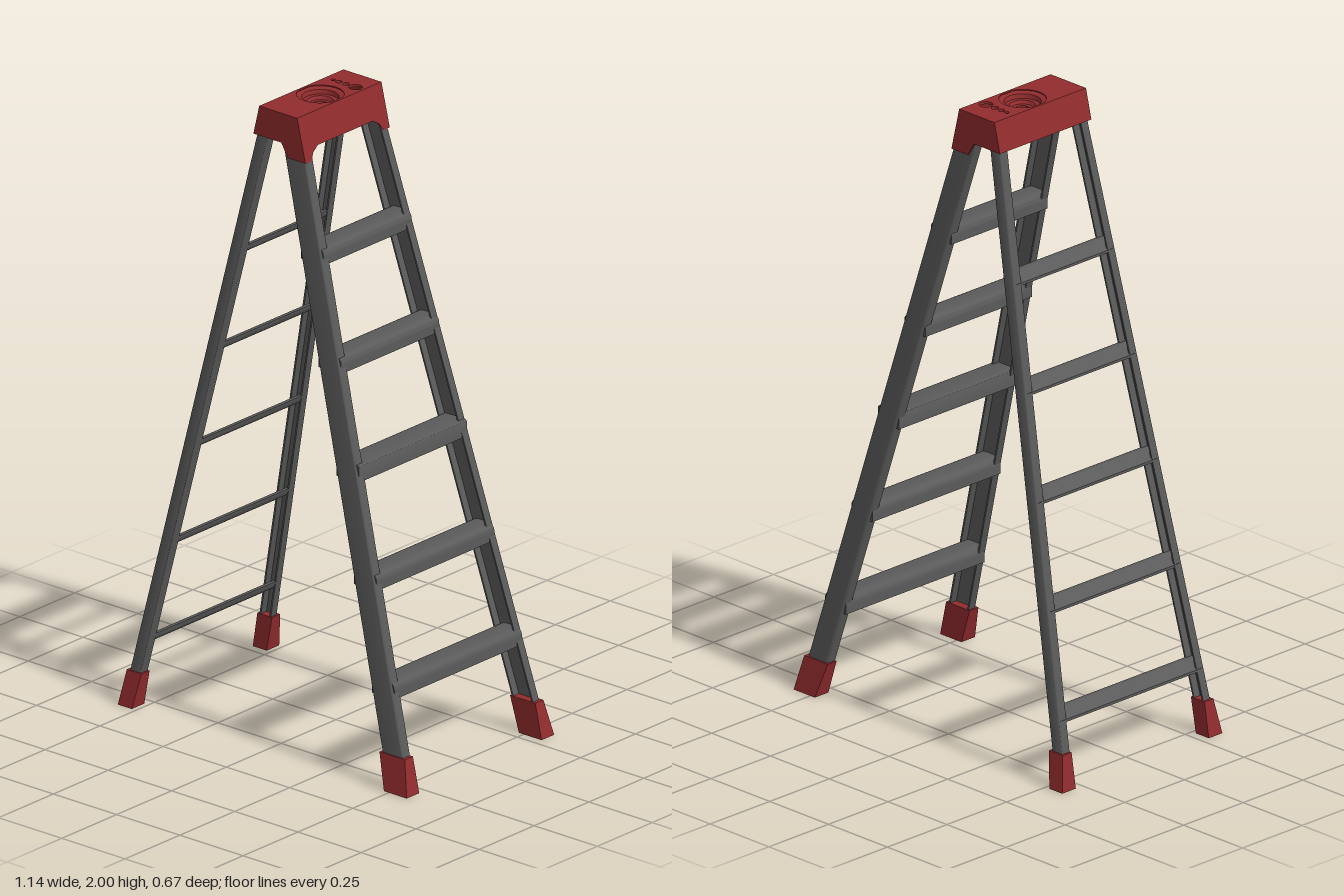
import * as THREE from 'three';
import { toCreasedNormals } from 'three/addons/utils/BufferGeometryUtils.js';

const red = new THREE.MeshStandardMaterial({ color: 0x922c2e, side: THREE.DoubleSide });
red.name = 'red plastic';
const grey = new THREE.MeshStandardMaterial({ color: 0x5a5a5a, side: THREE.DoubleSide });
grey.name = 'grey metal';

const polygon = (pts) => new THREE.Shape(pts.map(([x, y]) => new THREE.Vector2(x, y)));

function extrude(shape, depth) {
  return new THREE.ExtrudeGeometry(shape, { depth, bevelEnabled: false, curveSegments: 10 });
}

function warp(geo, rule) {
  const p = geo.attributes.position;
  for (let i = 0; i < p.count; i++) p.setXYZ(i, ...rule(p.getX(i), p.getY(i), p.getZ(i)));
  const out = geo.index ? geo.toNonIndexed() : geo;
  out.computeVertexNormals();
  return out;
}

// Outer z of the rails at a given height; they splay towards the ground
const railZ = (y) => 0.312 - 0.0706 * (y - 0.11);
// Centre x of the climbing rails and of the rear rails
const climbX = (y) => 0.494 - 0.2807 * (y - 0.11);
const rearX = (y) => -0.524 + 0.219 * (y - 0.11);

// C-channel leaning along centre line xAt, with its open side inwards
function rail(width, xAt, s) {
  const w = width / 2, d = 0.031, t = 0.006, r = 0.009;
  const shape = new THREE.Shape();
  shape.moveTo(-w, s * d);
  shape.lineTo(-w, s * r);
  shape.quadraticCurveTo(-w, 0, -w + r, 0);
  shape.lineTo(w - r, 0);
  shape.quadraticCurveTo(w, 0, w, s * r);
  shape.lineTo(w, s * d);
  shape.lineTo(w - t, s * d);
  shape.lineTo(w - t, s * t);
  shape.lineTo(-w + t, s * t);
  shape.lineTo(-w + t, s * d);
  shape.closePath();
  const geo = extrude(shape, 1.92).rotateX(-Math.PI / 2).translate(0, 0.04, 0);
  return toCreasedNormals(warp(geo, (x, y, z) => [x + xAt(y), y, z + s * railZ(y)]), 0.6);
}

// Slanted block: x ranges at the bottom and top, mirrored in z by s
function foot(bottom, top, s) {
  return warp(new THREE.BoxGeometry(1, 1, 1), (x, y, z) => {
    const up = y > 0;
    const range = up ? top : bottom;
    const outer = z * s > 0;
    return [range[x > 0 ? 1 : 0], up ? 0.112 : 0, s * (outer ? (up ? 0.316 : 0.336) : 0.279)];
  });
}

// Cross-section run across the ladder between the rails at height y
function crossBar(shape, x, y) {
  const half = railZ(y) - 0.007;
  return toCreasedNormals(extrude(shape, 2 * half).translate(x, y, -half), 0.6);
}

function treadShape(r) {
  const w = 0.0445, h = 0.027;
  const s = new THREE.Shape();
  s.moveTo(-w, -h);
  s.lineTo(w, -h);
  s.lineTo(w, h - r * 0.8);
  s.quadraticCurveTo(w, h, w - r, h);
  s.lineTo(-w + r, h);
  s.quadraticCurveTo(-w, h, -w, h - r * 0.8);
  s.closePath();
  return s;
}

// D section: slanted upper face with a bulging underside
function rungShape() {
  const s = new THREE.Shape();
  s.moveTo(-0.025, -0.0175);
  s.quadraticCurveTo(0.022, -0.0175, 0.025, 0.0175);
  s.lineTo(0.013, 0.0175);
  s.lineTo(-0.025, -0.009);
  s.closePath();
  return s;
}

export function createModel() {
  const model = new THREE.Group();
  model.name = 'stepladder';
  const add = (name, geo, mat, parent = model) => {
    const mesh = new THREE.Mesh(geo, mat);
    mesh.name = name;
    parent.add(mesh);
    return mesh;
  };

  // Rails and feet
  for (const s of [1, -1]) {
    add('climbingRail', rail(0.084, climbX, s), grey);
    add('rearRail', rail(0.045, rearX, s), grey);
    add('climbingFoot', foot([0.481, 0.571], [0.446, 0.546], s), red);
    add('rearFoot', foot([-0.571, -0.516], [-0.553, -0.495], s), red);
  }

  // Treads and rear rungs; the middle tread is squarer
  for (let i = 0; i < 5; i++) {
    const ty = 0.308 + i * 0.319;
    add('tread', crossBar(treadShape(i === 2 ? 0.01 : 0.032), climbX(ty), ty), grey);
    const ry = 0.218 + i * 0.325;
    add('rearRung', crossBar(rungShape(), rearX(ry), ry), grey);
  }

  // Hollow top cap
  const cap = new THREE.Group();
  cap.name = 'topCap';
  model.add(cap);
  const L = -0.137, R = 0.013, Z = 0.192, T = 0.008, cx = -0.062;

  // Top plate with tool holes and an opening for the tray
  const plate = polygon([[L, -Z], [R, -Z], [R, Z], [L, Z]]);
  const holes = [[cx, 0, 0.072], [-0.107, 0.11, 0.007], [-0.084, 0.11, 0.01],
    [-0.056, 0.11, 0.011], [-0.018, 0.11, 0.021]];
  for (const [x, y, r] of holes) {
    const hole = new THREE.Path();
    hole.absarc(x, y, r, 0, Math.PI * 2, true);
    plate.holes.push(hole);
  }
  add('capTop', extrude(plate, T).rotateX(-Math.PI / 2).translate(0, 2 - T, 0), red, cap);

  // Stepped round tray with a centre hole
  const tray = [[0.022, 1.955], [0.022, 1.968], [0.034, 1.968], [0.04, 1.978],
    [0.053, 1.978], [0.056, 1.992], [0.0725, 1.997]].map(([r, y]) => new THREE.Vector2(r, y));
  add('capTray', toCreasedNormals(new THREE.LatheGeometry(tray, 32), 0.5).translate(cx, 0, 0), red, cap);

  // End walls
  const end = polygon([[L, 2], [R, 2], [0.046, 1.862], [-0.024, 1.862], [-0.05, 1.905], [-0.16, 1.905]]);
  for (const z of [Z - T, -Z]) add('capEnd', extrude(end, T).translate(0, 0, z), red, cap);

  // Sloping side walls
  const wall = (pts, x0, slope) => warp(extrude(polygon(pts), T).rotateY(Math.PI / 2),
    (x, y, z) => [x + x0 + slope * (2 - y), y, z]);
  add('capClimbingSide', wall([[-Z, 2], [-Z, 1.862], [-0.165, 1.862], [-0.15, 1.885], [-0.125, 1.9],
    [0.125, 1.9], [0.15, 1.885], [0.165, 1.862], [Z, 1.862], [Z, 2]], R - T, 0.239), red, cap);
  add('capRearSide', wall([[-Z, 2], [-Z, 1.905], [Z, 1.905], [Z, 2]], L, -0.242), red, cap);

  return model;
}
